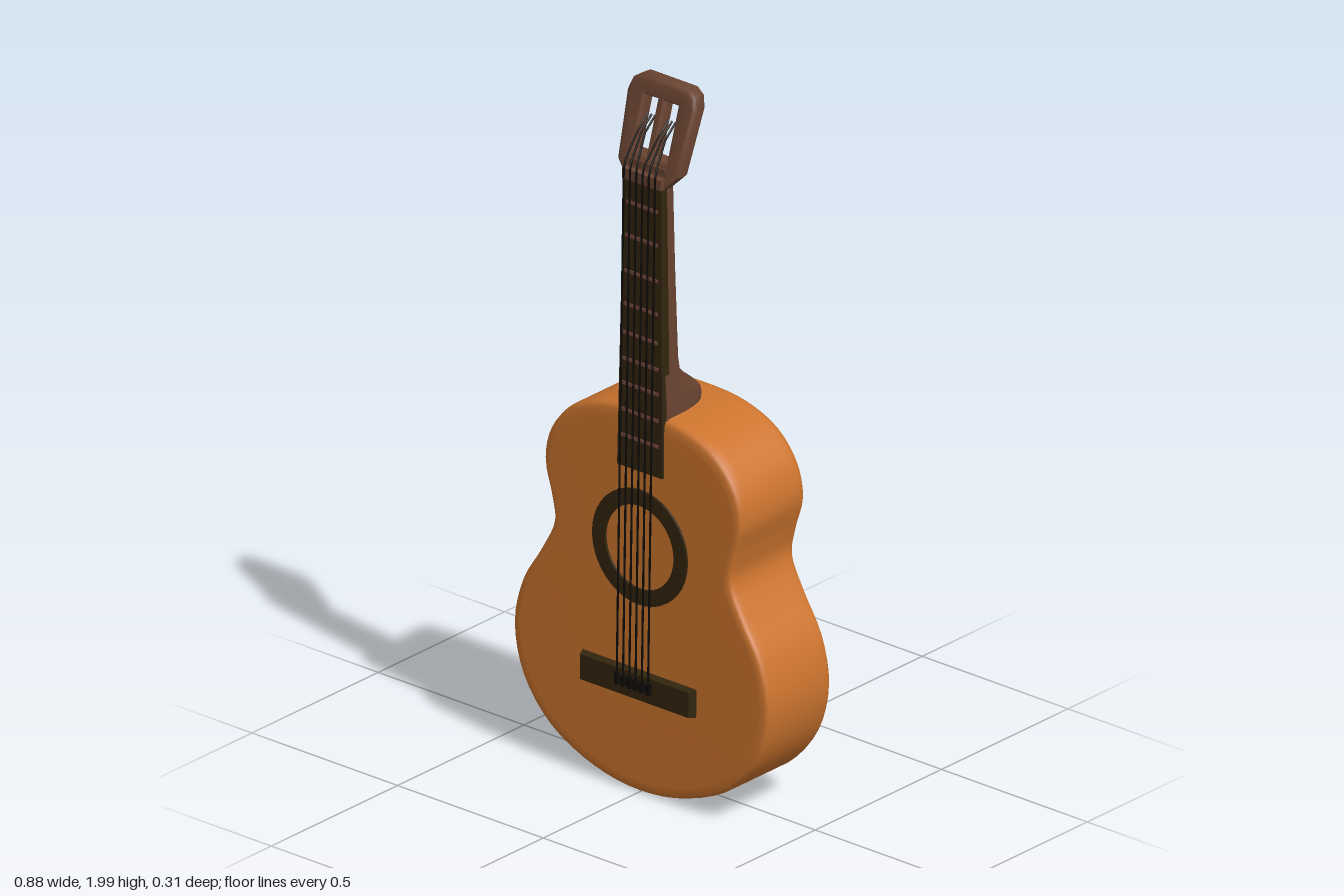
import * as THREE from 'three';
import { toCreasedNormals } from 'three/addons/utils/BufferGeometryUtils.js';

const material = (name, color) => new THREE.MeshStandardMaterial({ name, color });

// Closed skin over a list of rings with equal point counts
function loft(rings) {
  const n = rings[0].length, index = [];
  for (let r = 0; r < rings.length - 1; r++) {
    for (let i = 0; i < n; i++) {
      const j = (i + 1) % n;
      const a = r * n + i, b = r * n + j, c = b + n, d = a + n;
      index.push(a, d, c, a, c, b);
    }
  }
  const geo = new THREE.BufferGeometry().setFromPoints(rings.flat());
  geo.setIndex(index);
  geo.computeVertexNormals();
  return geo;
}

function moveVertices(geo, rule) {
  const p = geo.attributes.position, v = new THREE.Vector3();
  for (let i = 0; i < p.count; i++) {
    rule(v.fromBufferAttribute(p, i));
    p.setXYZ(i, v.x, v.y, v.z);
  }
  geo.computeVertexNormals();
  return geo;
}

export function createModel() {
  const wood = material('orange wood', 0xcc742e);
  const neckWood = material('brown wood', 0x694331);
  const dark = material('dark wood', 0x33250f);
  const fretMat = material('fret brown', 0x744840);
  const stringMat = material('string black', 0x0c0a08);

  const model = new THREE.Group();
  model.name = 'guitar';
  const add = (name, geo, mat, parent = model) => {
    const mesh = new THREE.Mesh(geo, mat);
    mesh.name = name;
    parent.add(mesh);
    return mesh;
  };
  const lerp = THREE.MathUtils.lerp;
  const V = (x, y, z = 0) => new THREE.Vector3(x, y, z);

  // Body: waisted outline, swept front to back with a soft rim
  const half = [[0.16, 0.032], [0.31, 0.105], [0.405, 0.22], [0.438, 0.36], [0.41, 0.49],
    [0.345, 0.6], [0.303, 0.69], [0.315, 0.77], [0.338, 0.86], [0.318, 0.95], [0.25, 1.03], [0.14, 1.076]];
  const outline = new THREE.CatmullRomCurve3([
    V(0, 0.008), ...half.map(([x, y]) => V(x, y)),
    V(0, 1.088), ...half.slice().reverse().map(([x, y]) => V(-x, y)),
  ], true).getPoints(104).slice(0, -1);
  const frontZ = y => 0.124 - 0.015 * y;
  const backZ = y => -0.13 - 0.022 * y;
  const ring = (scale, inset, front) => outline.map(p => {
    const y = 0.5 + (p.y - 0.5) * scale;
    return V(p.x * scale, y, front ? frontZ(y) - inset : backZ(y) + inset);
  });
  const steps = [[0, 0], [0.5, 0], [0.93, 0], [0.975, 0.002], [0.993, 0.008], [1, 0.02], [1, 0.04]];
  add('body', loft([
    ...steps.map(([s, d]) => ring(s, d, true)),
    ...steps.slice().reverse().map(([s, d]) => ring(s, d, false)),
  ]), wood);

  // Ring around the sound hole
  const rosette = new THREE.Shape().absarc(0, 0, 0.162, 0, Math.PI * 2);
  rosette.holes.push(new THREE.Path().absarc(0, 0, 0.118, 0, Math.PI * 2, true));
  const rosetteMesh = add('soundHoleRing',
    new THREE.ExtrudeGeometry(rosette, { depth: 0.009, bevelEnabled: false, curveSegments: 20 }), dark);
  rosetteMesh.position.set(0, 0.705, frontZ(0.705) - 0.002);
  rosetteMesh.rotation.x = -0.015;

  // Bridge, narrowing towards its front
  const bridgeGeo = moveVertices(new THREE.BoxGeometry(0.4, 0.084, 0.03), v => {
    if (v.z > 0) { v.x *= 0.93; v.y *= 0.85; }
  });
  add('bridge', bridgeGeo, dark).position.set(0, 0.317, 0.125);

  // Neck and heel: round-backed sections [y, half width, front z, back z]
  const sections = [[1.05, 0.078, 0.1, -0.08], [1.1, 0.079, 0.1, -0.087], [1.118, 0.078, 0.1, -0.082],
    [1.14, 0.077, 0.1, -0.058], [1.18, 0.074, 0.1, -0.008], [1.2, 0.073, 0.1, 0.01],
    [1.24, 0.072, 0.1, 0.019], [1.5, 0.068, 0.098, 0.031], [1.79, 0.064, 0.092, 0.044]];
  const neckRings = sections.map(([y, w, front, back]) => {
    const pts = [], mid = front - 0.02;
    for (let i = 0; i <= 14; i++) {
      const a = Math.PI * i / 14, c = Math.cos(a), s = Math.max(0, Math.sin(a));
      pts.push(V(-w * Math.sign(c) * Math.abs(c) ** 0.7, y, mid - (mid - back) * s ** 0.7));
    }
    pts.push(V(w, y, front), V(-w, y, front));
    return pts;
  });
  const capOf = r => r.map(p => V(0, p.y, 0.07));
  add('neck', toCreasedNormals(loft([capOf(neckRings[0]), ...neckRings, capOf(neckRings.at(-1))]), 0.8), neckWood);

  // Fingerboard tapering towards the nut
  const y0 = 0.922, y1 = 1.738;
  const boardWidth = y => lerp(0.154, 0.13, (y - y0) / (y1 - y0));
  const boardFront = y => lerp(0.119, 0.107, (y - y0) / (y1 - y0));
  add('fingerboard', moveVertices(new THREE.BoxGeometry(1, y1 - y0, 1), v => {
    v.y += (y0 + y1) / 2;
    v.x *= boardWidth(v.y);
    v.z = v.z > 0 ? boardFront(v.y) : 0.085;
  }), dark);

  // Frets
  const frets = new THREE.Group();
  frets.name = 'frets';
  model.add(frets);
  for (const y of [1.01, 1.083, 1.158, 1.228, 1.302, 1.383, 1.477, 1.578, 1.673]) {
    add('fret', new THREE.BoxGeometry(boardWidth(y) - 0.024, 0.009, 0.006), fretMat, frets)
      .position.set(0, y, boardFront(y));
  }
  add('nut', new THREE.BoxGeometry(0.132, 0.03, 0.03), neckWood).position.set(0, 1.752, 0.097);

  // Slotted headstock, leaning back
  const head = new THREE.Shape([[-0.066, 1.735], [0.066, 1.735], [0.104, 1.775], [0.117, 1.95],
    [0.107, 1.982], [0.08, 1.998], [-0.08, 1.998], [-0.107, 1.982], [-0.117, 1.95], [-0.104, 1.775]]
    .map(([x, y]) => new THREE.Vector2(x, y)));
  for (const side of [-1, 1]) {
    const a = side * 0.035 - 0.022, b = a + 0.044;
    head.holes.push(new THREE.Path([[a, 1.805], [a, 1.95], [b, 1.95], [b, 1.805]]
      .map(([x, y]) => new THREE.Vector2(x, y))));
  }
  const headGeo = moveVertices(new THREE.ExtrudeGeometry(head, {
    depth: 0.024, bevelThickness: 0.012, bevelSize: 0.012, bevelOffset: -0.012, bevelSegments: 3,
  }), v => { v.z += 0.063 - 0.31 * (v.y - 1.75); });
  add('headstock', toCreasedNormals(headGeo, 0.6), neckWood);

  // Six strings from bridge to headstock slots, each with a small tie
  const strings = new THREE.Group();
  strings.name = 'strings';
  model.add(strings);
  for (let i = 0; i < 6; i++) {
    const x = (i - 2.5) * 0.0215;
    const end = (i < 3 ? -0.035 : 0.035) + ((i % 3) - 1) * 0.012;
    const path = new THREE.CatmullRomCurve3([V(x, 0.31, 0.14), V(x, 0.335, 0.147),
      V(x, 1.785, 0.119), V(end, 1.865, 0.07), V(end, 1.9, 0.03)], false, 'catmullrom', 0);
    add('string', new THREE.TubeGeometry(path, 60, 0.003, 6), stringMat, strings);
    add('stringTie', new THREE.BoxGeometry(0.011, 0.03, 0.018), stringMat, strings).position.set(x, 0.325, 0.143);
  }
  return model;
}
